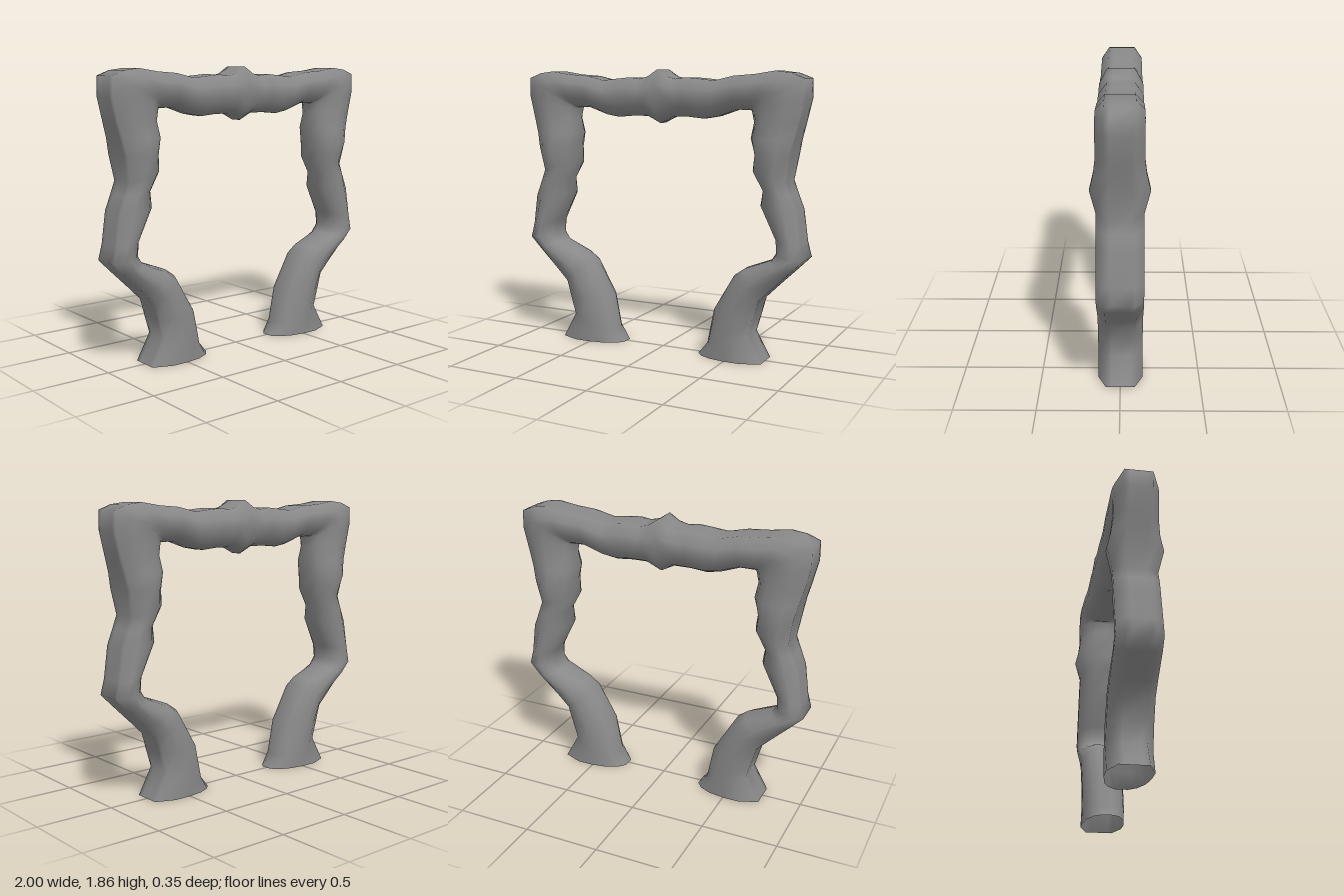
import * as THREE from 'three';

// One side of the arch from foot to crown: outer x, outer y, inner x, inner y, half depth
const HALF = [
  [0.735, 0, 0.28, 0],
  [0.64, 0.17, 0.345, 0.08],
  [0.675, 0.29, 0.39, 0.31],
  [0.705, 0.40, 0.53, 0.55],
  [0.79, 0.485, 0.6, 0.6],
  [0.92, 0.61, 0.78, 0.67],
  [1.0, 0.69, 0.81, 0.72],
  [0.973, 0.79, 0.805, 0.81],
  [0.945, 0.99, 0.70, 1.01],
  [0.905, 1.09, 0.715, 1.11],
  [0.875, 1.17, 0.645, 1.23],
  [0.9, 1.33, 0.66, 1.33, 0.175],
  [0.922, 1.43, 0.63, 1.43, 0.152],
  [0.95, 1.53, 0.65, 1.53],
  [0.985, 1.68, 0.635, 1.595],
  [0.983, 1.80, 0.63, 1.605],
  [0.9, 1.832, 0.625, 1.605],
  [0.8, 1.845, 0.62, 1.605],
  [0.67, 1.825, 0.6, 1.605],
  [0.53, 1.815, 0.53, 1.605],
  [0.4, 1.785, 0.4, 1.56],
  [0.31, 1.795, 0.31, 1.545],
  [0.2, 1.805, 0.2, 1.555],
  [0.13, 1.795, 0.14, 1.555],
  [0.07, 1.81, 0.09, 1.555],
  [0, 1.855, 0, 1.51],
];

// Cross-section: position from outer (0) to inner (1) edge, fraction of half depth
const SIDE = [[0, 0.4], [0, 0.64], [0.27, 1], [0.5, 1], [0.74, 0.88], [0.91, 0.62], [1, 0.28]];
const SECTION = [...SIDE, ...SIDE.map(([t, d]) => [t, -d]).reverse()];

function archGeometry() {
  const mirrored = HALF.slice(0, -1).reverse().map(([ox, oy, ix, iy, d]) => [-ox, oy, -ix, iy, d]);
  const stations = [...HALF, ...mirrored];
  const n = SECTION.length;
  const positions = [];
  const index = [];

  for (const [ox, oy, ix, iy, depth = 0.14] of stations) {
    for (const [t, d] of SECTION) {
      positions.push(ox + (ix - ox) * t, oy + (iy - oy) * t, d * depth);
    }
  }
  for (let s = 0; s < stations.length - 1; s++) {
    for (let j = 0; j < n; j++) {
      const a = s * n + j, b = s * n + (j + 1) % n;
      index.push(a, a + n, b, b, a + n, b + n);
    }
  }

  const geometry = new THREE.BufferGeometry();
  geometry.setAttribute('position', new THREE.Float32BufferAttribute(positions, 3));
  geometry.setIndex(index);
  geometry.computeVertexNormals();
  return geometry;
}

export function createModel() {
  const group = new THREE.Group();
  group.name = 'archway';
  // Hollow dark grey arch, open under both feet
  const arch = new THREE.Mesh(
    archGeometry(),
    new THREE.MeshStandardMaterial({ color: 0x888888, side: THREE.DoubleSide })
  );
  arch.name = 'gnarledArch';
  group.add(arch);
  return group;
}
